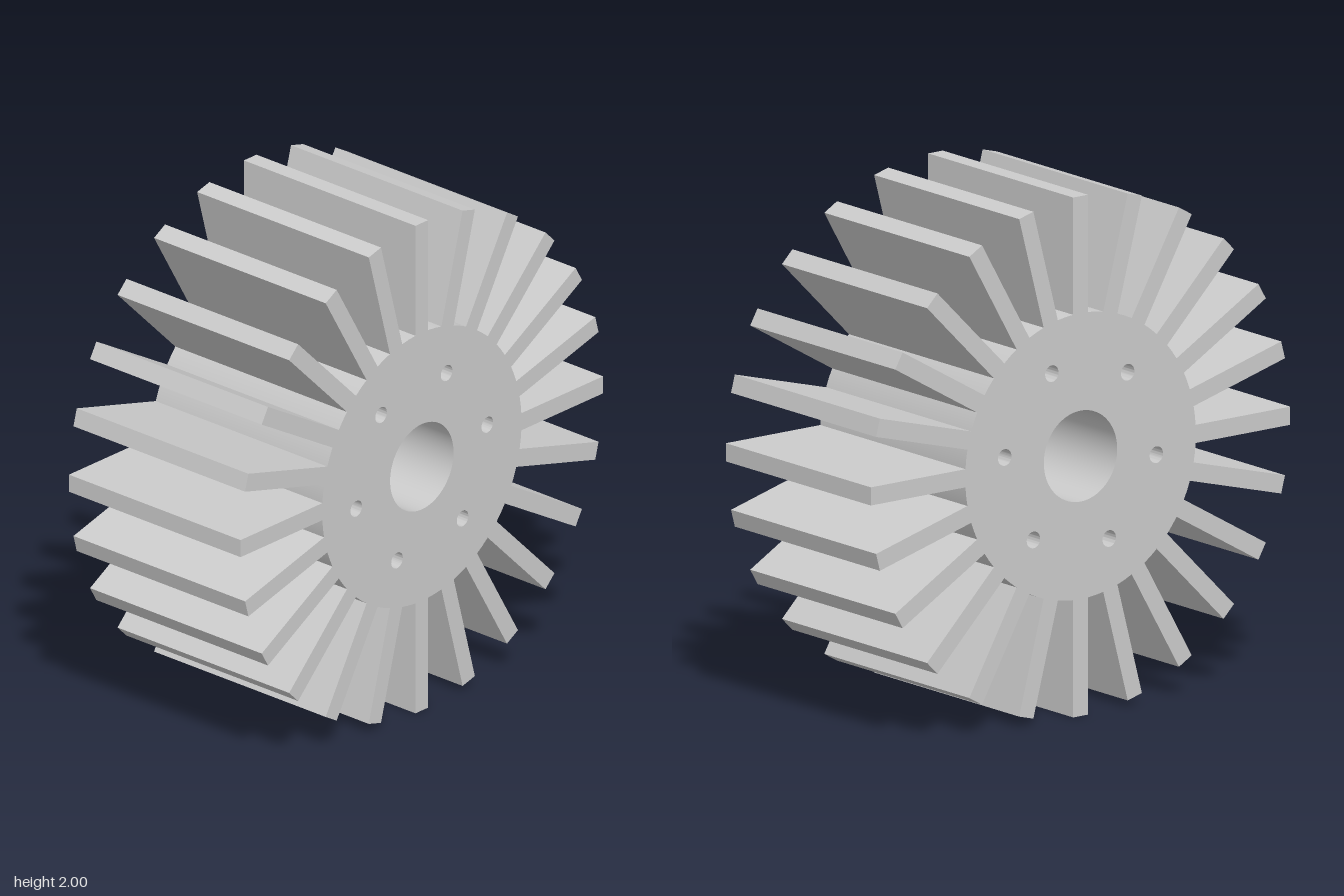
import * as THREE from 'three';
import { toCreasedNormals } from 'three/addons/utils/BufferGeometryUtils.js';

const DEPTH = 0.87;
const HUB_RADIUS = 0.55;
const BORE_RADIUS = 0.175;
const BOLT_CIRCLE = 0.365;
const BOLT_RADIUS = 0.032;
const FIN_COUNT = 24;
const FIN_WIDTH = 0.07;
const FIN_INNER = 0.545; // sunk slightly into the hub

function circleHole(x, y, r) {
  return new THREE.Path().absarc(x, y, r, 0, Math.PI * 2, true);
}

// Cylindrical core with a central bore and six through holes
function createHub(material) {
  const shape = new THREE.Shape().absarc(0, 0, HUB_RADIUS, 0, Math.PI * 2, false);
  shape.holes.push(circleHole(0, 0, BORE_RADIUS));
  for (let i = 0; i < 6; i++) {
    const a = THREE.MathUtils.degToRad(8 + i * 60);
    shape.holes.push(circleHole(BOLT_CIRCLE * Math.cos(a), BOLT_CIRCLE * Math.sin(a), BOLT_RADIUS));
  }
  const geometry = new THREE.ExtrudeGeometry(shape, { depth: DEPTH, bevelEnabled: false, curveSegments: 48 });
  geometry.translate(0, 0, -DEPTH / 2);
  const hub = new THREE.Mesh(toCreasedNormals(geometry, Math.PI / 6), material);
  hub.name = 'hub';
  return hub;
}

// Flat radial plates, evenly spaced around the hub
function createFins(material) {
  const fins = new THREE.Group();
  fins.name = 'coolingFins';
  const length = 1 - FIN_INNER;
  const geometry = new THREE.BoxGeometry(length, FIN_WIDTH, DEPTH);
  geometry.translate(FIN_INNER + length / 2, 0, 0);
  for (let i = 0; i < FIN_COUNT; i++) {
    const fin = new THREE.Mesh(geometry, material);
    fin.name = `fin${i + 1}`;
    fin.rotation.z = (i / FIN_COUNT) * Math.PI * 2;
    fins.add(fin);
  }
  return fins;
}

export function createModel() {
  const material = new THREE.MeshStandardMaterial({ color: 0xcccccc });
  const model = new THREE.Group();
  model.name = 'finnedHeatSink';
  const body = new THREE.Group();
  body.name = 'body';
  body.position.y = 1;
  body.add(createHub(material), createFins(material));
  model.add(body);
  return model;
}
